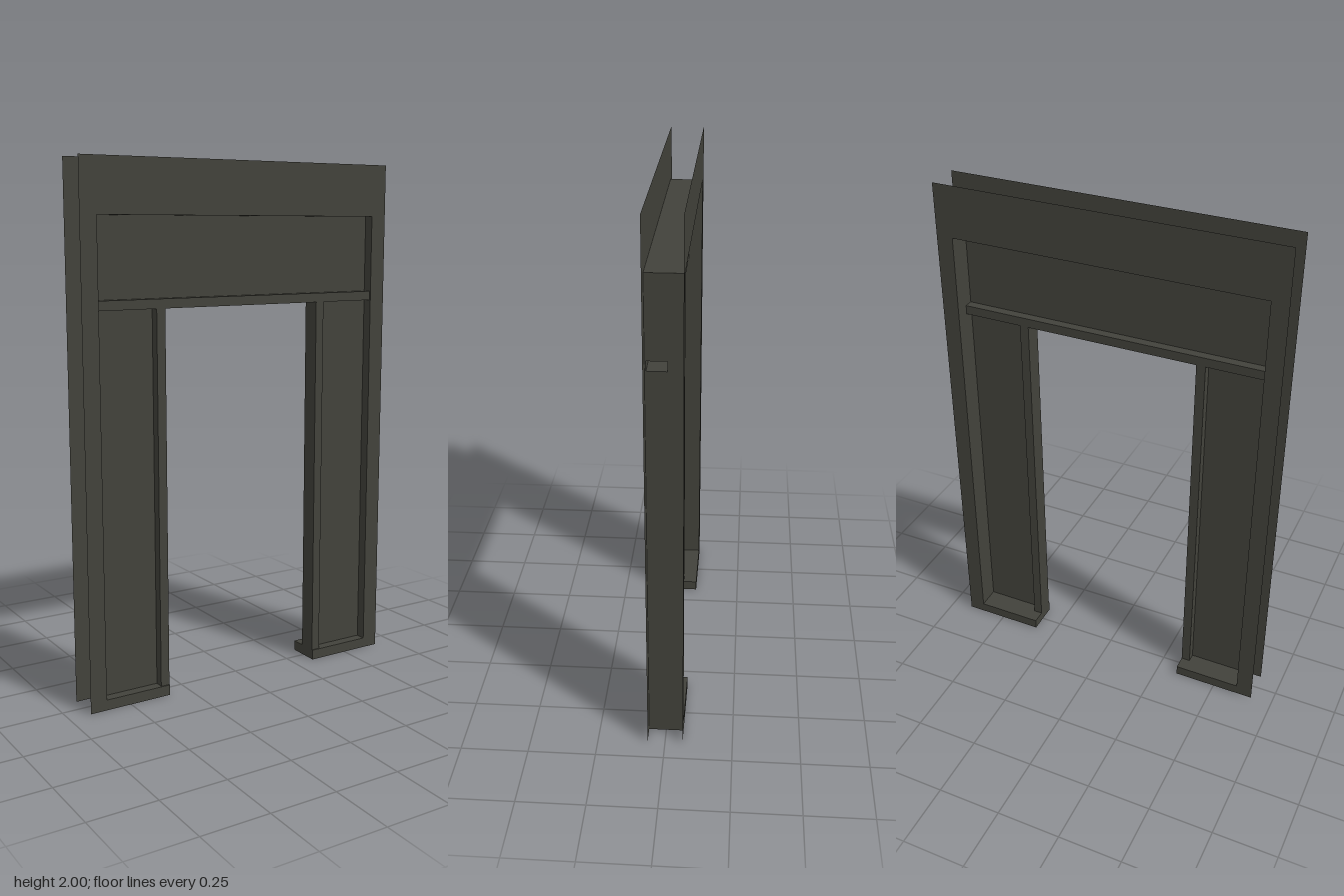
import * as THREE from 'three';

const frameGrey = new THREE.MeshStandardMaterial({ color: 0x42423b, side: THREE.DoubleSide });
frameGrey.name = 'dark frame grey';

// Box given by its limits; faces listed in open (0 +x, 1 -x, 2 +y, 3 -y, 4 +z, 5 -z) are left out
function shell(name, [x0, x1], [y0, y1], [z0, z1], open = []) {
  const geo = new THREE.BoxGeometry(x1 - x0, y1 - y0, z1 - z0);
  const kept = Array.from(geo.index.array).filter((_, i) => !open.includes(Math.floor(i / 6)));
  geo.setIndex(kept);
  geo.clearGroups();
  geo.translate((x0 + x1) / 2, (y0 + y1) / 2, (z0 + z1) / 2);
  const mesh = new THREE.Mesh(geo, frameGrey);
  mesh.name = name;
  return mesh;
}

function polygon(points) {
  return new THREE.Shape(points.map(([x, y]) => new THREE.Vector2(x, y)));
}

function sheet(name, shape) {
  const mesh = new THREE.Mesh(new THREE.ShapeGeometry(shape), frameGrey);
  mesh.name = name;
  return mesh;
}

export function createModel() {
  const model = new THREE.Group();
  model.name = 'doorFrame';

  const outerX = 0.665, innerX = 0.6, doorX = 0.335, postX = 0.37;
  const top = 2, headY = 1.8, railTop = 1.505, railBottom = 1.47, sillY = 0.04;
  const depth = 0.065;
  const barZ = [-0.01, 0.06], paneZ = 0.025;

  // Flat trim around the opening, on both faces of the wall
  const trim = polygon([
    [-outerX, 0], [-innerX, 0], [-innerX, headY], [innerX, headY],
    [innerX, 0], [outerX, 0], [outerX, top], [-outerX, top],
  ]);
  for (const side of [1, -1]) {
    const mesh = sheet(side > 0 ? 'frontTrim' : 'backTrim', trim);
    mesh.position.z = side * depth;
    if (side < 0) mesh.rotation.y = Math.PI;
    model.add(mesh);
  }

  // Head lining between the two trims
  const head = new THREE.Mesh(new THREE.PlaneGeometry(innerX * 2, depth * 2), frameGrey);
  head.name = 'headLining';
  head.rotation.x = -Math.PI / 2;
  head.position.y = headY;
  model.add(head);

  // Side linings, cut out where the hollow rail meets them
  const lining = polygon([[-depth, 0], [depth, 0], [depth, headY], [-depth, headY]]);
  lining.holes.push(polygon([
    [barZ[0], railBottom], [barZ[0], railTop], [barZ[1], railTop], [barZ[1], railBottom],
  ]));

  // Hollow transom rail, open at both ends, with the pane above it
  model.add(shell('transomRail', [-innerX, innerX], [railBottom, railTop], barZ, [0, 1]));
  const transom = sheet('transomPane', polygon([
    [-innerX, railTop], [innerX, railTop], [innerX, headY], [-innerX, headY],
  ]));
  transom.position.z = paneZ;
  model.add(transom);

  // Lining, post, pane and sill on each side of the doorway
  for (const side of [1, -1]) {
    const prefix = side > 0 ? 'left' : 'right';
    const span = (a, b) => (side > 0 ? [a, b] : [-b, -a]);

    const wall = sheet(prefix + 'Lining', lining);
    wall.rotation.y = -Math.PI / 2;
    wall.position.x = side * innerX;
    model.add(wall);

    model.add(shell(prefix + 'Post', span(doorX, postX), [sillY, railBottom], barZ, [2, 3]));
    model.add(shell(prefix + 'Sill', span(doorX, innerX), [0, sillY], [-depth, depth],
      [3, side > 0 ? 0 : 1]));

    const [x0, x1] = span(postX, innerX);
    const pane = sheet(prefix + 'SidePane', polygon([
      [x0, sillY], [x1, sillY], [x1, railBottom], [x0, railBottom],
    ]));
    pane.position.z = paneZ;
    model.add(pane);
  }

  return model;
}
